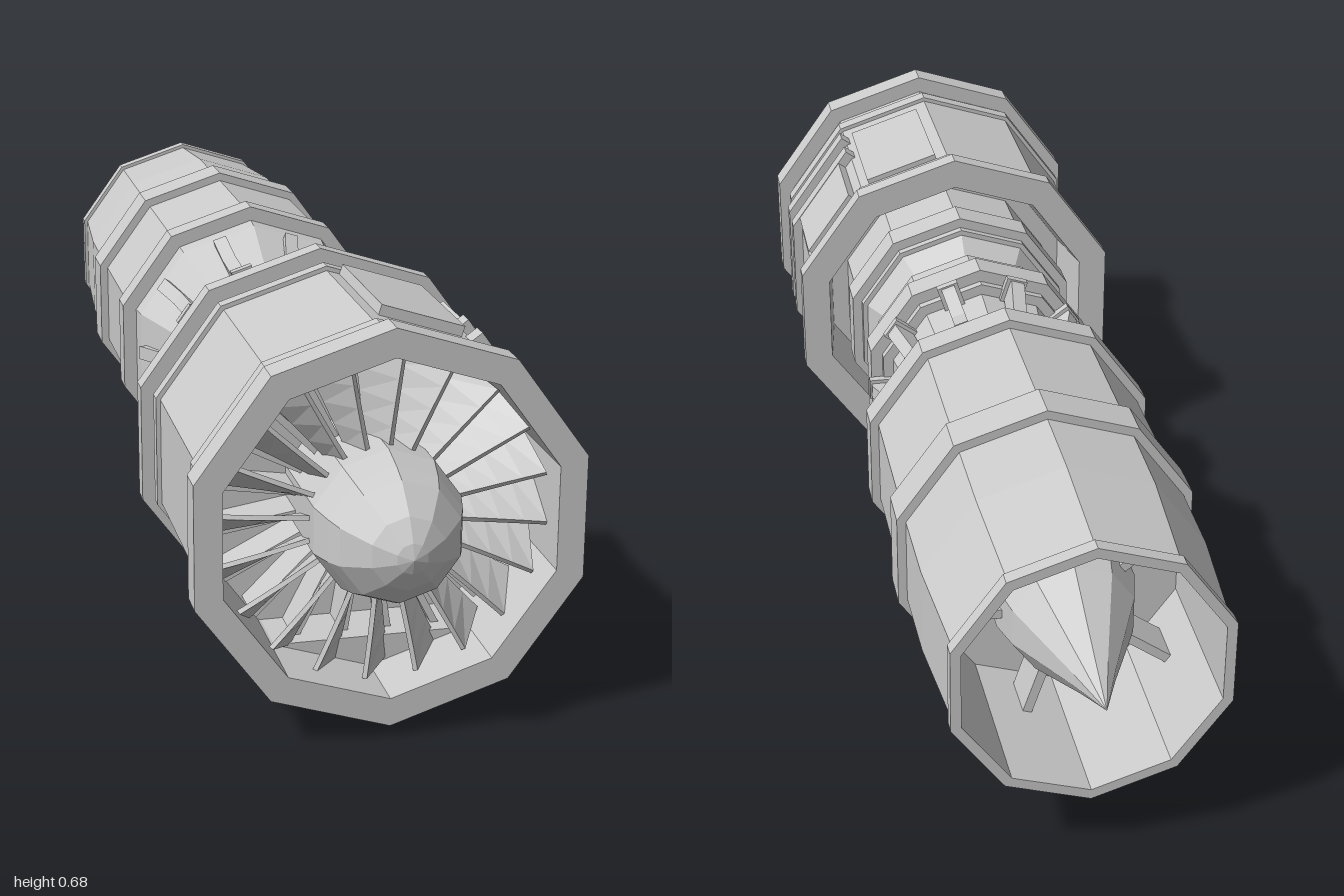
import * as THREE from 'three';

const CY = 0.348;      // height of the engine axis
const SIDES = 10;
const APOTHEM = Math.cos(Math.PI / SIDES);
const STEP = Math.PI * 2 / SIDES;
const mat = new THREE.MeshStandardMaterial({ color: 0xcccccc, flatShading: true, side: THREE.DoubleSide });

export function createModel() {
  const model = new THREE.Group();

  const add = (name, geometry, parent = model) => {
    const mesh = new THREE.Mesh(geometry, mat);
    mesh.name = name;
    parent.add(mesh);
    return mesh;
  };

  // Ten-sided turned part along z; profile is [radius, z], outer side running from back to front
  const turned = (name, profile) => {
    const g = new THREE.LatheGeometry(profile.map(([r, z]) => new THREE.Vector2(r, z)), SIDES);
    g.rotateX(Math.PI / 2);
    add(name, g).position.y = CY;
  };

  // Group turned round the axis, with local +y pointing outwards
  const radial = (name, angle) => {
    const g = new THREE.Group();
    g.name = name;
    g.position.y = CY;
    g.rotation.z = -angle;
    model.add(g);
    return g;
  };

  // Box given by its limits
  const box = (name, x0, x1, y0, y1, z0, z1, parent) => {
    const g = new THREE.BoxGeometry(x1 - x0, y1 - y0, z1 - z0);
    g.translate((x0 + x1) / 2, (y0 + y1) / 2, (z0 + z1) / 2);
    return add(name, g, parent);
  };

  // Outline in x, y extruded along z
  const prism = (name, points, z0, z1) => {
    const shape = new THREE.Shape(points.map(([x, y]) => new THREE.Vector2(x, y)));
    const g = new THREE.ExtrudeGeometry(shape, { depth: z1 - z0, bevelEnabled: false });
    g.translate(0, 0, z0);
    return add(name, g);
  };

  // Fan casing with flanges, open at both ends
  turned('fanCasing', [
    [0.25, 0.5], [0.27, 0.37], [0.327, 0.37], [0.327, 0.405], [0.288, 0.405], [0.288, 0.425],
    [0.308, 0.425], [0.308, 0.45], [0.3, 0.45], [0.3, 0.765], [0.308, 0.765], [0.308, 0.795],
    [0.295, 0.795], [0.295, 0.834], [0.327, 0.834], [0.327, 0.885], [0.28, 0.885], [0.28, 0.66], [0, 0.66],
  ]);

  // Spinner
  turned('spinner', [
    [0.124, 0.66], [0.124, 0.85], [0.112, 0.895], [0.1, 0.925], [0.06, 0.97], [0.025, 0.992], [0, 1],
  ]);

  // Twisted fan blades, widening towards the tip
  const blade = new THREE.BoxGeometry(0.008, 0.155, 0.1, 1, 4, 1);
  const p = blade.attributes.position;
  for (let i = 0; i < p.count; i++) {
    const t = p.getY(i) / 0.155 + 0.5;
    const pitch = 0.3 + 0.3 * t, x = p.getX(i), z = p.getZ(i) * (0.7 + 0.3 * t);
    p.setXYZ(i, x * Math.cos(pitch) + z * Math.sin(pitch), p.getY(i) + 0.19, -x * Math.sin(pitch) + z * Math.cos(pitch));
  }
  for (let i = 0; i < 20; i++) {
    const angle = i * Math.PI / 10;
    add('fanBlade', blade, radial('fanBladeMount', angle)).position.z = 0.79;
    // Stator vane behind the blade
    box('statorVane', -0.006, 0.006, 0.11, 0.264, 0.66, 0.73, radial('statorMount', angle + Math.PI / 20));
  }

  // Access panels on the upper left facets of the casing
  const panels = [[0.45, 0.7], [0.45, 0.615]];
  panels.forEach(([z0, z1], i) =>
    box('accessPanel', -0.07, 0.075, 0.27, 0.303, z0, z1, radial('panelMount', STEP * (i + 0.5))));

  // Short ribs down the left side of the casing
  for (const z of [0.615, 0.69])
    for (let i = 1; i < 4; i++)
      box('casingRib', -0.099, 0.099, 0.27, 0.304, z, z + 0.03, radial('ribMount', STEP * (i + 0.5)));

  // Belly pad under the casing
  prism('bellyPad', [[-0.178, 0.12], [-0.178, 0.053], [0, 0.018], [0.178, 0.053], [0.178, 0.12]], 0.48, 0.76);

  // Compressor core, stepped neck and flare to the rear duct
  turned('core', [
    [0.24, -0.165], [0.235, -0.13], [0.17, -0.01], [0.18, 0.07], [0.2, 0.07], [0.2, 0.085],
    [0.223, 0.085], [0.223, 0.14], [0.165, 0.14], [0.165, 0.165], [0.187, 0.165], [0.187, 0.19],
    [0.165, 0.19], [0.165, 0.205], [0.187, 0.205], [0.187, 0.23], [0.165, 0.23], [0.165, 0.25],
    [0.2, 0.295], [0.21, 0.295], [0.21, 0.31], [0.229, 0.31], [0.229, 0.37], [0.215, 0.37], [0.215, 0.5], [0.25, 0.5],
  ]);

  // Bent struts round the waist
  const strutShape = new THREE.Shape([
    [0.07, 0.175], [0.07, 0.215], [0.05, 0.215], [-0.01, 0.19], [-0.07, 0.2], [-0.115, 0.23],
    [-0.115, 0.19], [-0.07, 0.17], [-0.01, 0.16],
  ].map(([z, r]) => new THREE.Vector2(z, r)));
  const strut = new THREE.ExtrudeGeometry(strutShape, { depth: 0.026, bevelEnabled: false });
  strut.translate(0, 0, -0.013);
  strut.rotateY(-Math.PI / 2);
  for (let i = 0; i < SIDES; i++) {
    const mount = radial('strutMount', STEP * (i + 0.5));
    add('strut', strut, mount);
    box('strutFoot', -0.02, 0.02, 0.17, 0.218, 0.06, 0.075, mount);
  }

  // Rear duct with flanges and open nozzle
  turned('rearDuct', [
    [0, -0.6], [0.225, -0.6], [0.22, -0.915], [0.238, -0.915], [0.238, -0.89], [0.231, -0.89],
    [0.248, -0.69], [0.25, -0.54], [0.266, -0.54], [0.266, -0.465], [0.25, -0.465], [0.25, -0.21],
    [0.266, -0.21], [0.266, -0.16], [0.2, -0.16],
  ]);

  // Exhaust cone and its supports
  turned('exhaustCone', [[0, -1], [0.035, -0.915], [0.105, -0.76], [0.12, -0.7], [0.12, -0.6]]);
  for (let i = 0; i < 5; i++)
    box('coneSupport', -0.008, 0.008, 0.1, 0.22, -0.72, -0.64, radial('supportMount', STEP * (i * 2 + 0.5)));

  // Gearbox slung under the waist
  prism('gearbox', [
    [-0.143, 0.045], [-0.143, 0.02], [-0.1, 0], [0.1, 0], [0.143, 0.02], [0.143, 0.045], [0.1, 0.1], [-0.1, 0.1],
  ], 0, 0.185);
  box('gearboxNeck', -0.09, 0.09, 0.09, 0.21, 0.0, 0.185);

  // Accessories ahead of the gearbox
  for (const [x0, x1, y0] of [[0, 0.1, 0.01], [-0.11, -0.035, 0.022]]) {
    box('accessoryPlate', x0, x1, y0, 0.12, 0.22, 0.245);
    box('accessoryBody', x0 + 0.01, x1 - 0.01, 0.045, 0.11, 0.18, 0.225);
  }

  // Feed pipes from the gearbox up to the duct
  for (const x of [-0.075, -0.025, 0.025, 0.075]) {
    box('feedPipe', x - 0.012, x + 0.012, 0.085, 0.11, -0.125, 0.005);
    box('feedPipeRiser', x - 0.012, x + 0.012, 0.085, 0.165, -0.125, -0.1);
  }

  // Control unit on the left of the neck
  box('controlUnit', 0.12, 0.19, 0.2, 0.29, 0.15, 0.23);

  return model;
}
